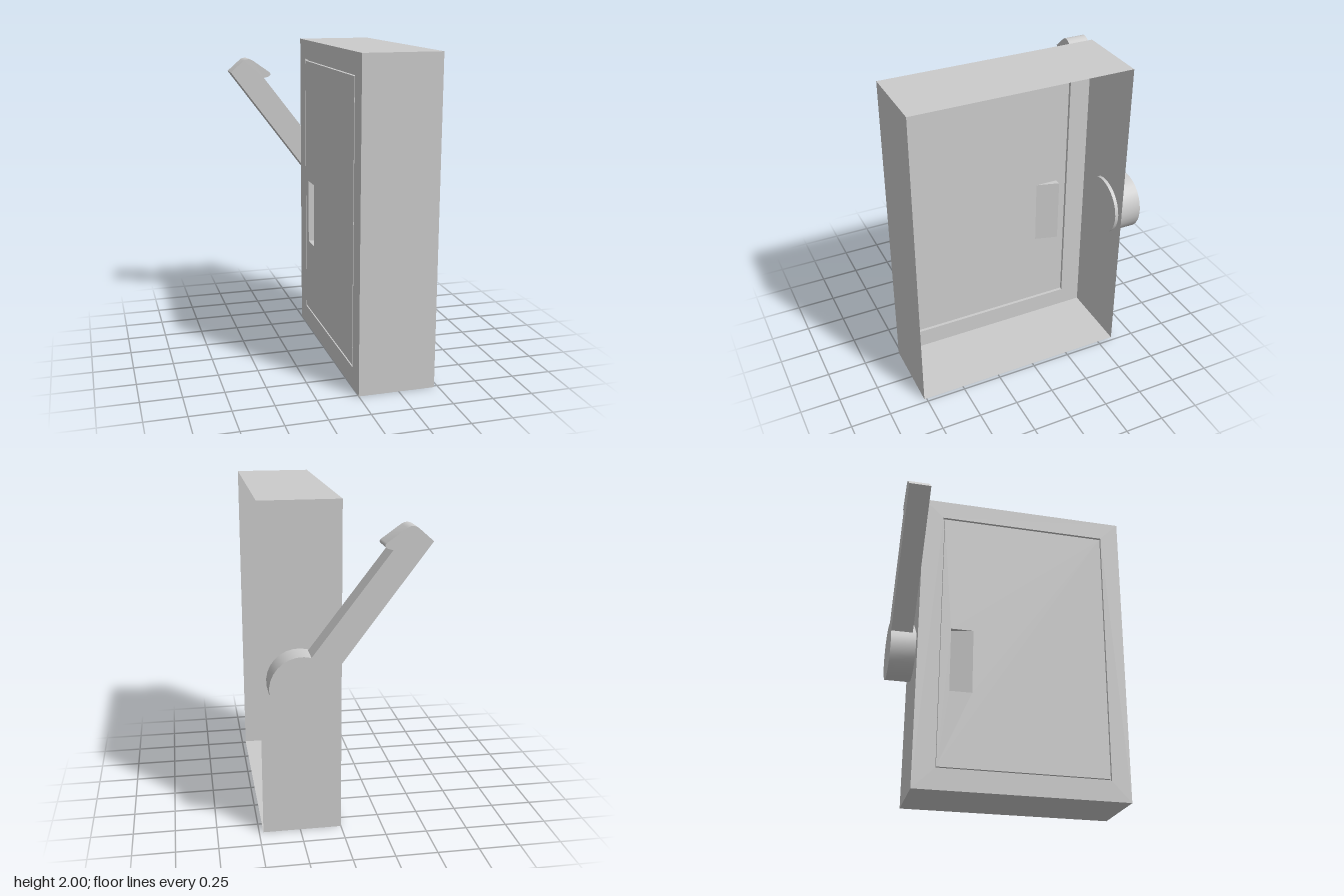
import * as THREE from 'three';
import { toCreasedNormals } from 'three/addons/utils/BufferGeometryUtils.js';

const sheet = new THREE.MeshStandardMaterial({ color: 0xcccccc, side: THREE.DoubleSide });
const solid = new THREE.MeshStandardMaterial({ color: 0xcccccc });

// Flat-shaded surface from convex polygons, each a list of [x, y, z]
function facets(polys) {
  const pos = [];
  for (const p of polys)
    for (let i = 1; i < p.length - 1; i++) pos.push(...p[0], ...p[i], ...p[i + 1]);
  const g = new THREE.BufferGeometry();
  g.setAttribute('position', new THREE.Float32BufferAttribute(pos, 3));
  g.computeVertexNormals();
  return g;
}

// Rectangle corners as [z, y], given by two opposite corners
const rect = (z0, y0, z1, y1) => [[z1, y0], [z0, y0], [z0, y1], [z1, y1]];

// Walls running along x around a closed outline
const walls = (pts, x0, x1) => facets(pts.map(([z, y], i) => {
  const [z2, y2] = pts[(i + 1) % pts.length];
  return [[x0, y, z], [x0, y2, z2], [x1, y2, z2], [x1, y, z]];
}));

// Flat plate facing -x at the given x, with an optional opening
function plate(outline, opening, x) {
  const vec = (pts) => pts.map(([z, y]) => new THREE.Vector2(z, y));
  const shape = new THREE.Shape(vec(outline));
  if (opening) shape.holes.push(new THREE.Path(vec(opening)));
  return new THREE.ShapeGeometry(shape).rotateY(-Math.PI / 2).translate(x, 0, 0);
}

function extrude(shape, z0, z1) {
  const g = new THREE.ExtrudeGeometry(shape, { depth: z1 - z0, bevelEnabled: false, curveSegments: 6 });
  return toCreasedNormals(g.translate(0, 0, z0), 0.6);
}

export function createModel() {
  const group = new THREE.Group();
  const add = (name, geometry, material) => {
    const mesh = new THREE.Mesh(geometry, material);
    mesh.name = name;
    group.add(mesh);
  };

  // Box shell, open towards +x
  const body = rect(-0.605, 0, 0.765, 2);
  const grooveOuter = rect(-0.47, 0.13, 0.64, 1.875);
  const grooveInner = rect(-0.46, 0.142, 0.63, 1.863);
  const pull = rect(-0.395, 0.63, -0.25, 1.055);
  const grooveDepth = 0.02;
  add('boxWalls', walls(body, 0, 0.475), sheet);
  add('doorFrame', plate(body, grooveOuter, 0), sheet);

  // Door with the groove around it
  add('doorPanel', plate(grooveInner, pull, 0), sheet);
  add('grooveFloor', plate(grooveOuter, grooveInner, grooveDepth), sheet);
  add('grooveOuterWall', walls([...grooveOuter].reverse(), 0, grooveDepth), sheet);
  add('grooveInnerWall', walls(grooveInner, 0, grooveDepth), sheet);

  // Wedge-shaped finger pull, deepest at the -z end
  const d = 0.04, y0 = 0.63, y1 = 1.055, za = -0.25, zb = -0.395;
  add('fingerPull', facets([
    [[0, y1, za], [d, y1, zb], [d, y0, zb], [0, y0, za]],
    [[0, y0, zb], [d, y0, zb], [d, y1, zb], [0, y1, zb]],
    [[0, y0, za], [d, y0, zb], [0, y0, zb]],
    [[0, y1, zb], [d, y1, zb], [0, y1, za]],
  ]), sheet);

  // Lever hub: a disc with a flat where the arm joins
  const cx = 0.253, cy = 0.968, r = 0.187;
  const aStart = Math.atan2(1.036 - cy, 0.079 - cx) + Math.PI * 2; // lower arm edge
  const aEnd = Math.atan2(1.147 - cy, 0.2 - cx) + Math.PI * 2; // upper arm edge
  const hubPoints = [];
  const steps = 24;
  for (let i = 0; i <= steps; i++) {
    const a = aStart + (aEnd + Math.PI * 2 - aStart) * (i / steps);
    hubPoints.push(new THREE.Vector2(cx + r * Math.cos(a), cy + r * Math.sin(a)));
  }
  add('leverHub', extrude(new THREE.Shape(hubPoints), -0.765, -0.583), solid);

  // Lever arm with a rounded hook at its tip
  const low = hubPoints[0], high = hubPoints[steps];
  const arm = new THREE.Shape();
  arm.moveTo(low.x, low.y);
  arm.lineTo(high.x, high.y);
  arm.lineTo(-0.251, 1.738);
  arm.lineTo(-0.222, 1.746);
  arm.quadraticCurveTo(-0.192, 1.76, -0.214, 1.778);
  arm.lineTo(-0.325, 1.857);
  arm.quadraticCurveTo(-0.358, 1.878, -0.389, 1.857);
  arm.lineTo(-0.477, 1.78);
  add('leverArm', extrude(arm, -0.765, -0.628), solid);

  return group;
}
